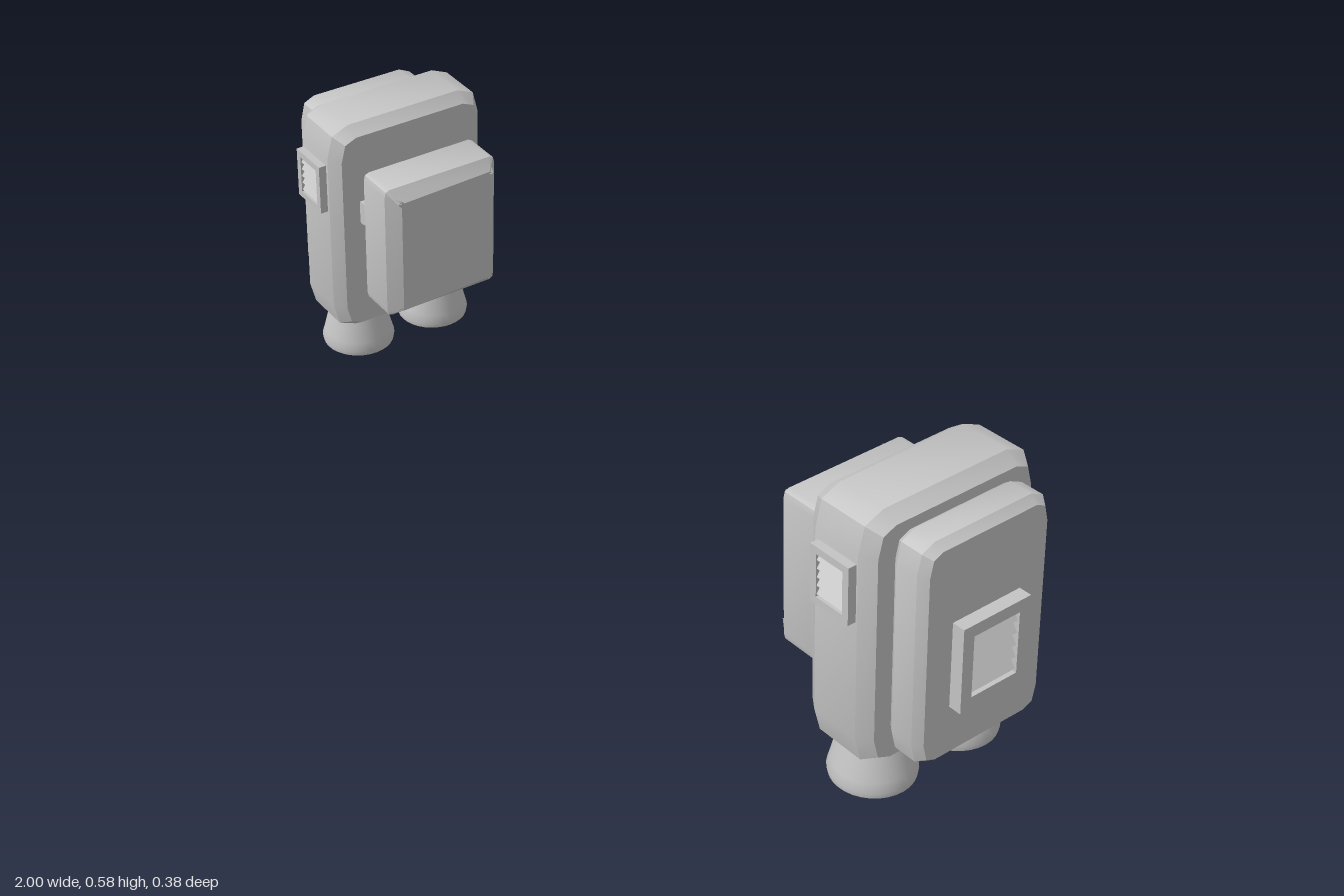
import * as THREE from 'three';
import { toCreasedNormals } from 'three/addons/utils/BufferGeometryUtils.js';

const grey = new THREE.MeshStandardMaterial({ color: 0xc4c4c4 });
grey.name = 'grey metal';

function add(parent, name, geometry, x = 0, y = 0, z = 0) {
  const mesh = new THREE.Mesh(geometry, grey);
  mesh.name = name;
  mesh.position.set(x, y, z);
  parent.add(mesh);
  return mesh;
}

// Rectangle with corners cut by cy vertically and cx sideways
function outline(w, h, cx, cy) {
  const a = w / 2, b = h / 2;
  const s = new THREE.Shape();
  s.moveTo(-a + cx, -b);
  s.lineTo(a - cx, -b);
  s.quadraticCurveTo(a, -b, a, -b + cy);
  s.lineTo(a, b - cy);
  s.quadraticCurveTo(a, b, a - cx, b);
  s.lineTo(-a + cx, b);
  s.quadraticCurveTo(-a, b, -a, b - cy);
  s.lineTo(-a, -b + cy);
  s.quadraticCurveTo(-a, -b, -a + cx, -b);
  return s;
}

// Bevelled slab: thick along x, tall along y, deep along z
function slab(thick, h, depth, cx, cy, bevelSize, bevelThickness) {
  const g = new THREE.ExtrudeGeometry(outline(depth, h, cx, cy), {
    depth: thick - 2 * bevelThickness, curveSegments: 2, bevelEnabled: true,
    bevelSegments: 1, bevelSize, bevelThickness, bevelOffset: -bevelSize,
  });
  g.rotateY(Math.PI / 2);
  g.center();
  return toCreasedNormals(g, 0.5);
}

// Louvred vent facing +z, its back on z = 0
function vent(name, w, h, frameW, depth, slats) {
  const group = new THREE.Group();
  group.name = name;
  const rect = (p, a, b) => {
    p.moveTo(-a, -b); p.lineTo(a, -b); p.lineTo(a, b); p.lineTo(-a, b); p.closePath();
    return p;
  };
  const frame = rect(new THREE.Shape(), w / 2, h / 2);
  const iw = w - 2 * frameW, ih = h - 2 * frameW;
  frame.holes.push(rect(new THREE.Path(), iw / 2, ih / 2));
  add(group, 'ventFrame', new THREE.ExtrudeGeometry(frame, { depth, bevelEnabled: false }));
  add(group, 'ventBack', new THREE.BoxGeometry(iw, ih, 0.006), 0, 0, 0.003);
  const step = ih / slats;
  for (let i = 0; i < slats; i++) {
    const slat = add(group, 'ventSlat', new THREE.BoxGeometry(iw, step * 0.75, 0.005),
      0, -ih / 2 + (i + 0.5) * step, depth * 0.6);
    slat.rotation.x = -0.6;
  }
  return group;
}

// Hollow flared exhaust, origin at its mouth
function nozzleGeometry() {
  const p = [[0, 0.06], [0.05, 0.06], [0.069, 0.008], [0.072, 0], [0.076, 0.001],
    [0.078, 0.012], [0.073, 0.03], [0.059, 0.088], [0.055, 0.1], [0, 0.1]];
  const g = new THREE.LatheGeometry(p.map(([r, y]) => new THREE.Vector2(r, y)), 32);
  return toCreasedNormals(g, 0.6);
}

// One thruster pod; side is +1 for the model's left, -1 for its right
function pod(side) {
  const group = new THREE.Group();
  group.name = side > 0 ? 'leftPod' : 'rightPod';
  const zc = -0.0075;

  add(group, 'body', slab(0.152, 0.492, 0.364, 0.05, 0.065, 0.018, 0.026), 0, 0, zc);
  add(group, 'outerPanel', slab(0.078, 0.43, 0.275, 0.035, 0.05, 0.012, 0.016),
    side * 0.111, 0.002, zc);
  add(group, 'innerTank', slab(0.128, 0.306, 0.264, 0.012, 0.016, 0.026, 0.024),
    side * -0.147, 0.007, zc);

  // Rod joining the tank to the body
  const rod = new THREE.CylinderGeometry(0.026, 0.026, 0.25, 20);
  rod.rotateX(Math.PI / 2);
  add(group, 'connector', rod, side * -0.083, 0.05, zc);

  // Louvres on the outer panel and on the front of the body
  const outerVent = vent('outerVent', 0.145, 0.166, 0.023, 0.026, 5);
  outerVent.position.set(side * 0.149, -0.024, zc);
  outerVent.rotation.y = side * Math.PI / 2;
  const frontVent = vent('frontVent', 0.09, 0.11, 0.014, 0.018, 5);
  frontVent.position.set(side * 0.002, 0.108, 0.173);
  group.add(outerVent, frontVent);

  for (const z of [0.088, -0.102]) add(group, 'nozzle', nozzleGeometry(), 0, -0.323, z);

  group.position.set(side * 0.818, 0.33, 0);
  group.rotation.z = side * 0.07;
  return group;
}

export function createModel() {
  const model = new THREE.Group();
  model.name = 'thrusterPods';
  for (const side of [1, -1]) model.add(pod(side));
  return model;
}
